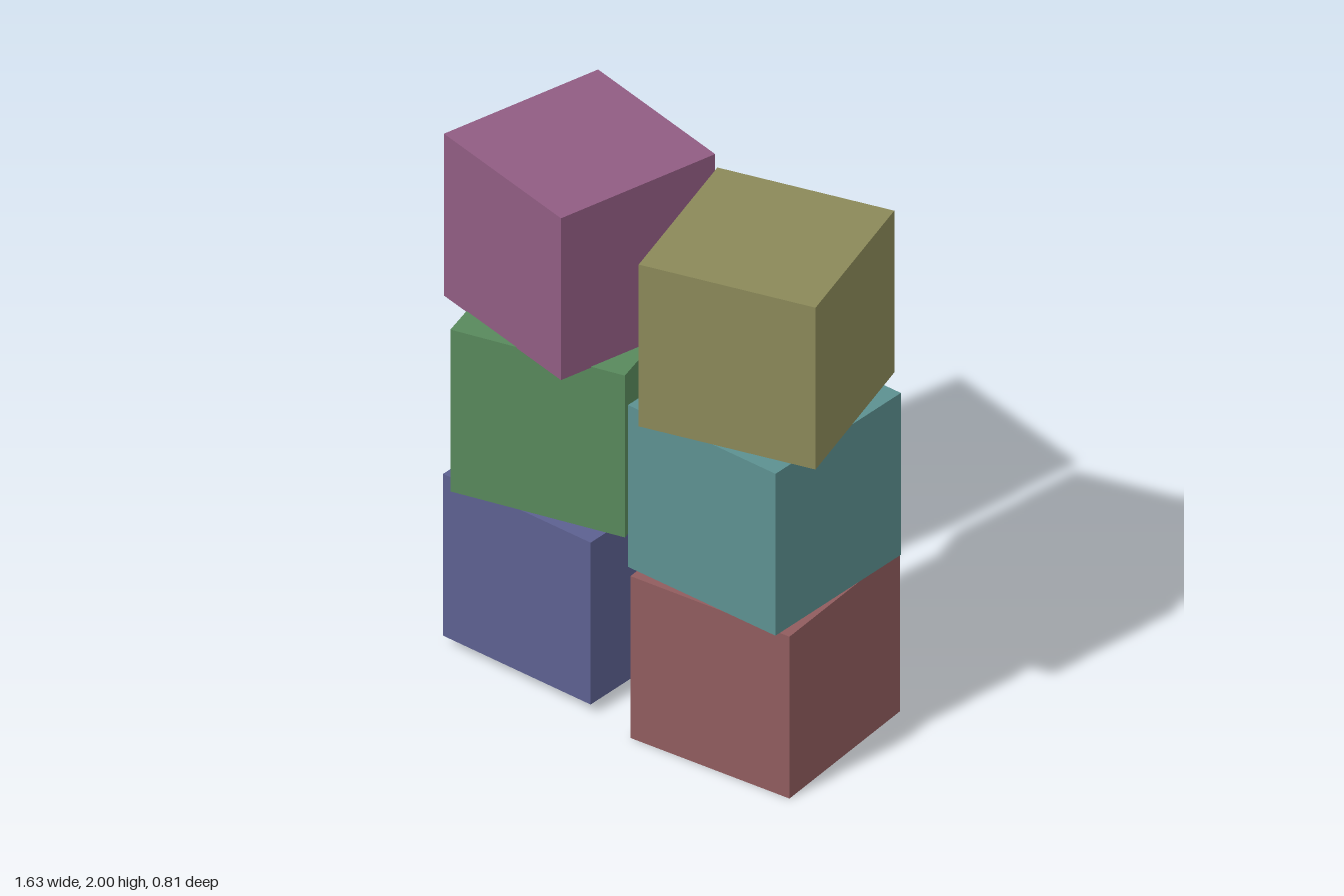
import * as THREE from 'three';

const SIZE = 0.654;

// name, colour, centre x, bottom y, centre z, turn in degrees
const CUBES = [
  ['blueCube', 0x5c6090, -0.42, 0.037, 0, 0],
  ['greenCube', 0x58895c, -0.42, 0.696, 0, 14.7],
  ['purpleCube', 0x905c82, -0.42, 1.346, 0, -12.4],
  ['redCube', 0x905c5e, 0.4, 0, -0.004, 5.6],
  ['tealCube', 0x5c9090, 0.4, 0.664, 0, 0],
  ['oliveCube', 0x8b8959, 0.409, 1.32, 0, 16.4],
];

export function createModel() {
  const model = new THREE.Group();
  model.name = 'stackedCubes';
  const geometry = new THREE.BoxGeometry(SIZE, SIZE, SIZE);

  // Two towers of three cubes, each cube twisted about its own vertical axis
  for (const [name, color, x, bottom, z, turn] of CUBES) {
    const cube = new THREE.Mesh(geometry, new THREE.MeshStandardMaterial({ color }));
    cube.name = name;
    cube.position.set(x, bottom + SIZE / 2, z);
    cube.rotation.y = THREE.MathUtils.degToRad(turn);
    model.add(cube);
  }
  return model;
}
